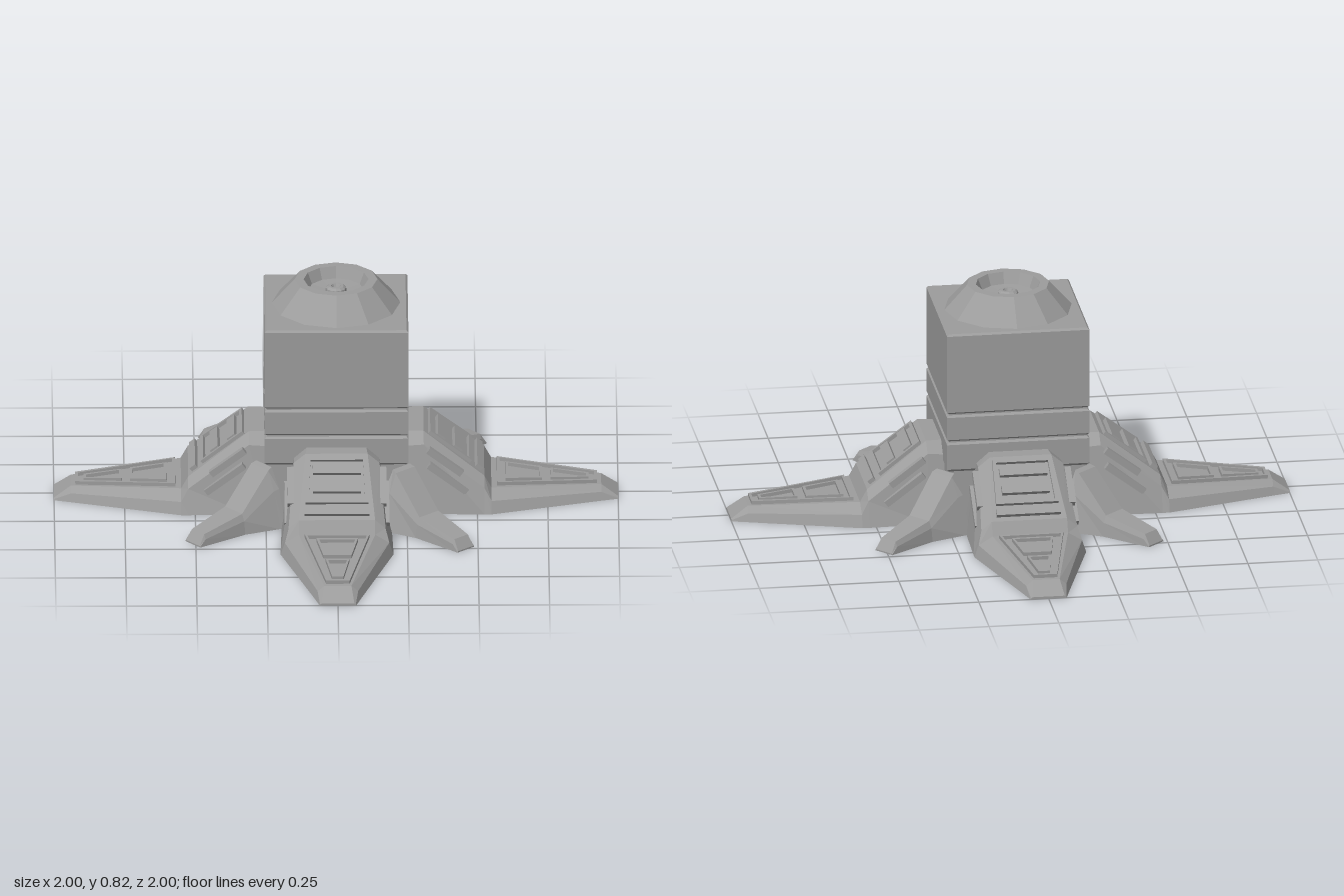
import * as THREE from 'three';

const mat = new THREE.MeshStandardMaterial({ color: 0x9c9c9c, flatShading: true, side: THREE.DoubleSide });

function add(parent, name, geometry) {
  const mesh = new THREE.Mesh(geometry, mat);
  mesh.name = name;
  parent.add(mesh);
  return mesh;
}

function lathe(points, sides, start = 0) {
  return new THREE.LatheGeometry(points.map(([r, y]) => new THREE.Vector2(r, y)), sides, start);
}

// Open-bottomed shell along +z; each section is
// [z, bottom half width, shoulder half width, shoulder y, top half width, top y]
function shell(sections) {
  const pos = [], index = [];
  for (const [z, b, m, my, t, ty] of sections) {
    pos.push(-b, 0, z, -m, my, z, -t, ty, z, t, ty, z, m, my, z, b, 0, z);
  }
  for (let s = 0; s < sections.length - 1; s++) {
    for (let i = 0; i < 5; i++) {
      const a = s * 6 + i, d = a + 6;
      index.push(a, d, a + 1, a + 1, d, d + 1);
    }
  }
  // close the tip
  const e = (sections.length - 1) * 6;
  for (let i = 1; i < 5; i++) index.push(e, e + i + 1, e + i);
  const g = new THREE.BufferGeometry();
  g.setAttribute('position', new THREE.Float32BufferAttribute(pos, 3));
  g.setIndex(index);
  const flat = g.toNonIndexed();
  flat.computeVertexNormals();
  return flat;
}

// Group whose local y runs down a slope and whose local z is the surface normal
function slope(name, y0, z0, y1, z1) {
  const group = new THREE.Group();
  group.name = name;
  const x = new THREE.Vector3(-1, 0, 0);
  const along = new THREE.Vector3(0, y1 - y0, z1 - z0).normalize();
  group.applyMatrix4(new THREE.Matrix4().makeBasis(x, along, x.clone().cross(along)));
  group.position.set(0, y0, z0);
  return group;
}

function trapezoid(Type, w0, w1, a, b) {
  return new Type([[-w0, a], [w0, a], [w1, b], [-w1, b]].map(([x, y]) => new THREE.Vector2(x, y)));
}

// Trapezoid frame standing out on both sides of a sloped plate
function frame(parent, name, w0, w1, a, b, rim) {
  const s = trapezoid(THREE.Shape, w0, w1, a, b);
  s.holes.push(trapezoid(THREE.Path, w0 - rim, w1 - rim, a + rim, b - rim));
  const g = new THREE.ExtrudeGeometry(s, { depth: 0.026, bevelEnabled: false });
  add(parent, name, g.translate(0, 0, -0.013));
}

function bar(parent, name, w, h, d, x, y, z) {
  const mesh = add(parent, name, new THREE.BoxGeometry(w, h, d));
  mesh.position.set(x, y, z);
  return mesh;
}

function mainLeg() {
  const leg = new THREE.Group();
  leg.name = 'mainLeg';
  add(leg, 'legShell', shell([
    [0.25, 0.195, 0.15, 0.245, 0.105, 0.285],
    [0.31, 0.195, 0.152, 0.25, 0.11, 0.285],
    [0.525, 0.2, 0.172, 0.09, 0.135, 0.122],
    [0.55, 0.2, 0.185, 0.045, 0.135, 0.076],
    [0.94, 0.082, 0.072, 0.03, 0.048, 0.05],
    [1.0, 0.065, 0.063, 0.004, 0.058, 0.008],
  ]));
  // vent panel on the steep part
  const vent = slope('ventPanel', 0.285, 0.31, 0.122, 0.525);
  frame(vent, 'ventFrame', 0.105, 0.112, 0.02, 0.205, 0.012);
  for (const y of [0.07, 0.145]) bar(vent, 'ventSlat', 0.17, 0.034, 0.03, 0, y, 0);
  bar(vent, 'kneeRail', 0.23, 0.025, 0.03, 0, 0.24, 0);
  leg.add(vent);
  // framed panels on the long foot
  const foot = slope('footPanel', 0.076, 0.55, 0.05, 0.94);
  frame(foot, 'footFrame', 0.115, 0.042, 0.02, 0.375, 0.01);
  frame(foot, 'innerPanel', 0.074, 0.05, 0.05, 0.18, 0.01);
  frame(foot, 'outerPanel', 0.042, 0.02, 0.21, 0.345, 0.009);
  leg.add(foot);
  // slats on both flanks
  for (const side of [-1, 1]) {
    for (const [y, z, len] of [[0.19, 0.385, 0.15], [0.13, 0.395, 0.17]]) {
      const slat = bar(leg, 'sideSlat', 0.022, 0.024, len, side * (0.197 - y * 0.17), y, z);
      slat.rotation.x = Math.atan2(0.163, 0.215);
    }
  }
  return leg;
}

export function createModel() {
  const model = new THREE.Group();
  model.name = 'turretBase';

  // square hollow body with two grooves
  const body = [
    [0.245, 0.02], [0.245, 0.215], [0.255, 0.225], [0.255, 0.318], [0.247, 0.325],
    [0.247, 0.33], [0.255, 0.337], [0.255, 0.421], [0.247, 0.428], [0.247, 0.433],
    [0.255, 0.44], [0.255, 0.728], [0.248, 0.735], [0, 0.735],
  ].map(([r, y]) => [r * Math.SQRT2, y]);
  add(model, 'body', lathe(body, 4, Math.PI / 4));

  // faceted cap with a dish and a centre knob
  add(model, 'cap', lathe([
    [0.228, 0.735], [0.147, 0.825], [0.115, 0.825], [0.098, 0.785], [0, 0.775],
  ], 12));
  add(model, 'capKnob', lathe([
    [0.038, 0.775], [0.036, 0.793], [0.028, 0.8], [0.018, 0.8], [0.013, 0.79], [0, 0.79],
  ], 12));

  for (let i = 0; i < 4; i++) {
    const leg = mainLeg();
    leg.rotation.y = i * Math.PI / 2;
    model.add(leg);

    // small braces, turned slightly off the diagonal
    const brace = add(model, 'cornerBrace', shell([
      [0.345, 0.115, 0.08, 0.14, 0.04, 0.212],
      [0.365, 0.108, 0.075, 0.135, 0.045, 0.205],
      [0.49, 0.062, 0.056, 0.05, 0.045, 0.075],
      [0.66, 0.042, 0.04, 0.025, 0.032, 0.042],
      [0.685, 0.04, 0.039, 0.003, 0.036, 0.005],
    ]));
    brace.rotation.y = i * Math.PI / 2 + THREE.MathUtils.degToRad(41.8);
  }
  return model;
}
